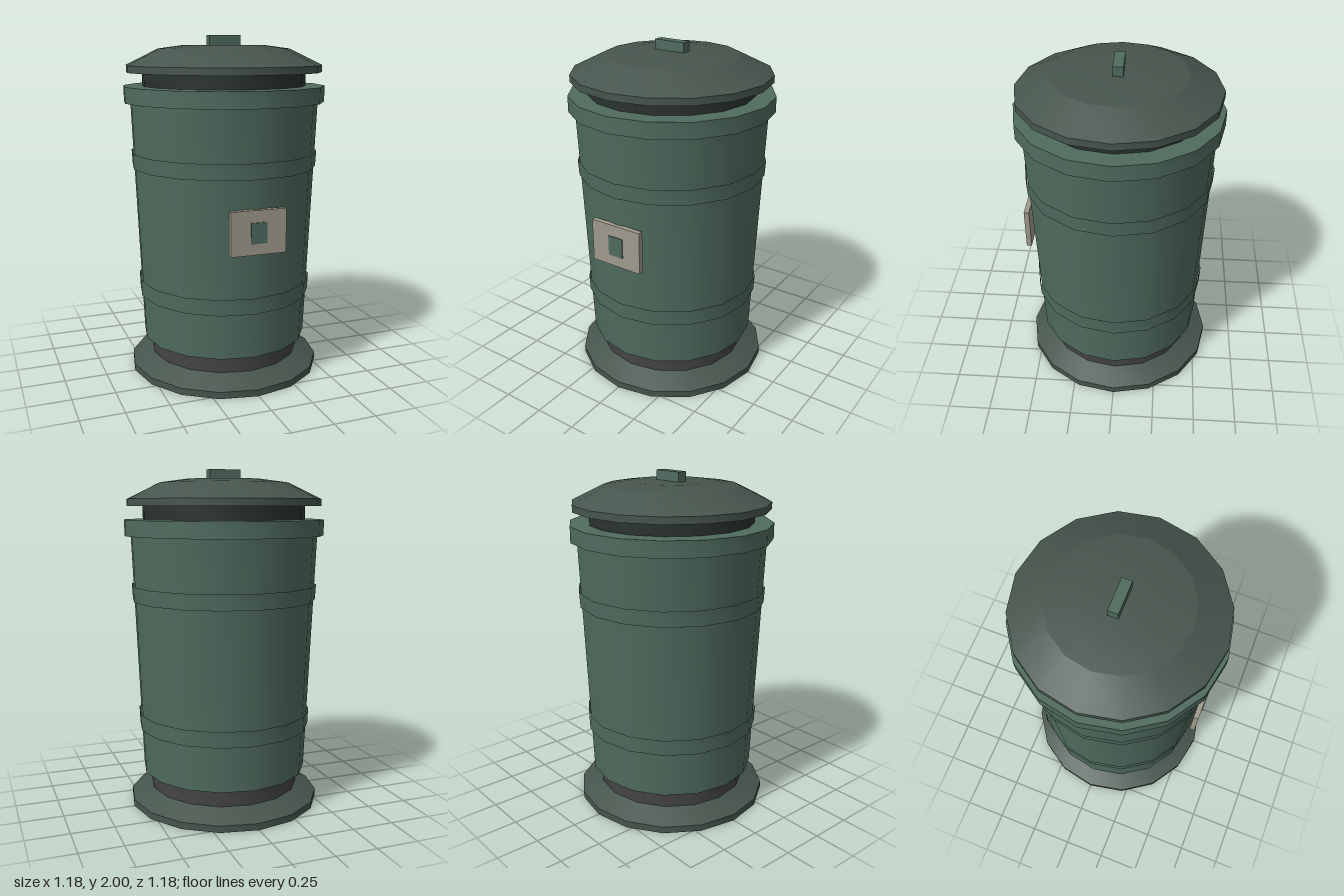
import * as THREE from 'three';
import { toCreasedNormals } from 'three/addons/utils/BufferGeometryUtils.js';

const SIDES = 16;
const paint = (color, side = THREE.FrontSide) => new THREE.MeshStandardMaterial({ color, side });

export function createModel() {
  const group = new THREE.Group();
  const green = paint(0x4f6b5e);
  const darkGreen = paint(0x46554d);
  const grey = paint(0x444444);
  const shadowGreen = paint(0x2a322e);
  const cream = paint(0xa09a8e);
  const bandGreen = paint(0x4f6b5e, THREE.DoubleSide);

  const add = (name, geometry, material) => {
    const mesh = new THREE.Mesh(geometry, material);
    mesh.name = name;
    group.add(mesh);
    return mesh;
  };
  // Turned part from [radius, height] pairs, listed bottom to top
  const turned = (name, profile, material) => {
    const points = profile.map(([r, y]) => new THREE.Vector2(r, y));
    return add(name, toCreasedNormals(new THREE.LatheGeometry(points, SIDES), 0.41), material);
  };
  const box = (name, [w, h, d], [x, y, z], material) =>
    add(name, new THREE.BoxGeometry(w, h, d), material).position.set(x, y, z);

  // Foot and recessed neck under the barrel
  turned('base', [[0, 0], [0.575, 0], [0.575, 0.04], [0.45, 0.1], [0, 0.1]], darkGreen);
  turned('lowerNeck', [[0.45, 0.1], [0.45, 0.19]], grey);

  // Tapered barrel with a chamfered bottom edge
  turned('body', [[0, 0.185], [0.45, 0.185], [0.497, 0.203], [0.555, 1.63]], green);

  // Thin open bands wrapped round the barrel
  for (const [name, y0, y1, r0, r1] of [
    ['lowerBand', 0.47, 0.565, 0.519, 0.523],
    ['upperBand', 1.24, 1.33, 0.549, 0.554],
  ]) turned(name, [[r0, y0], [r1, y1]], bandGreen);

  // Rim, and the dark gap below the lid
  turned('rim', [[0, 1.62], [0.592, 1.62], [0.592, 1.712], [0, 1.712]], green);
  turned('upperNeck', [[0.48, 1.712], [0.48, 1.79]], shadowGreen);

  // Lid with a shallow crown and a bar handle
  turned('lid', [[0, 1.79], [0.575, 1.79], [0.575, 1.83], [0.385, 1.923]], darkGreen);
  turned('lidCrown', [[0.385, 1.923], [0.23, 1.944], [0, 1.944]], darkGreen);
  box('handle', [0.19, 0.065, 0.058], [0, 1.9675, 0], green);

  // Front plate with a raised centre block
  box('plate', [0.325, 0.25, 0.03], [0, 0.951, 0.538], cream);
  box('plateCentre', [0.095, 0.118, 0.03], [0, 0.949, 0.543], green);

  return group;
}
